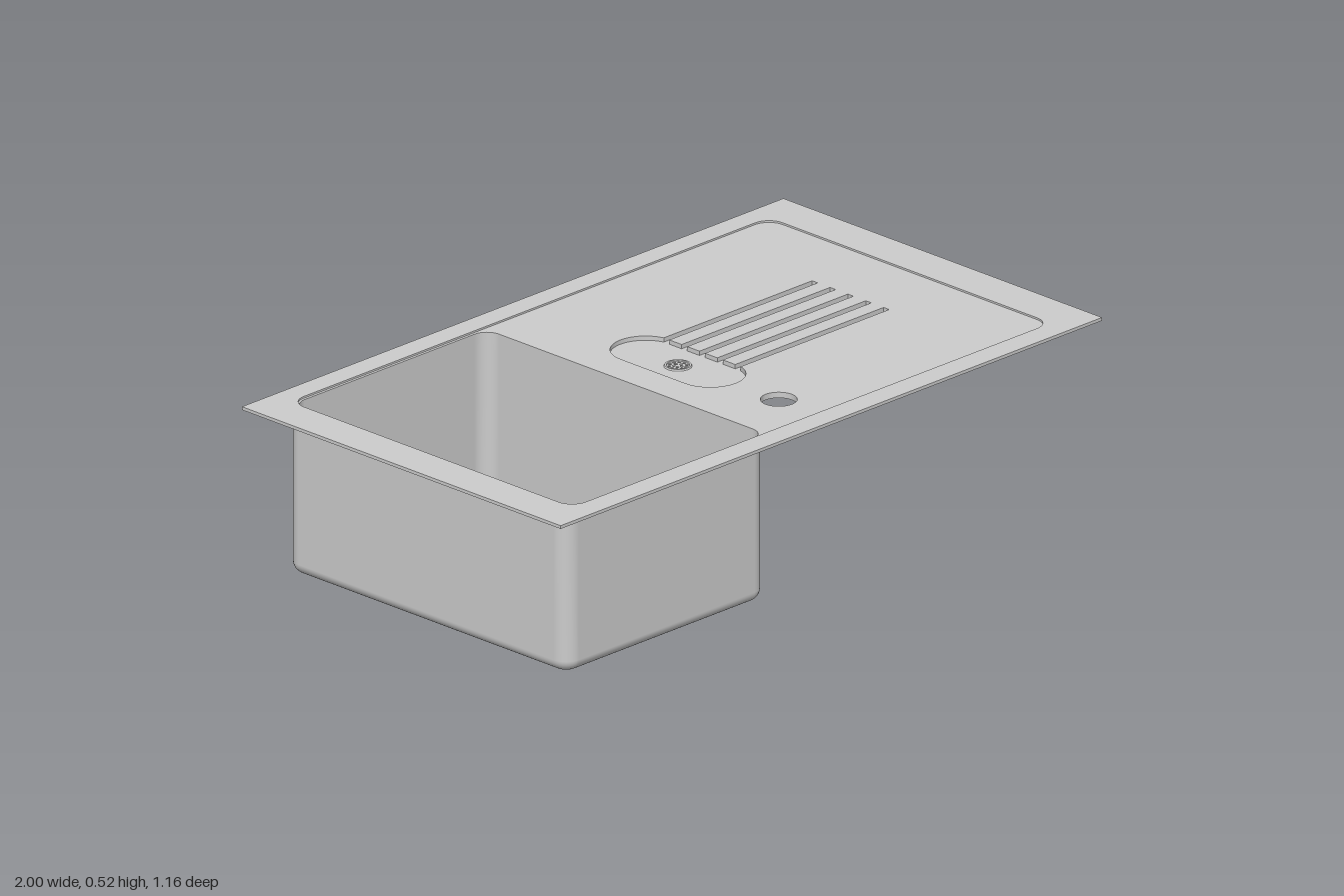
import * as THREE from 'three';
import { toCreasedNormals } from 'three/addons/utils/BufferGeometryUtils.js';

const steel = new THREE.MeshStandardMaterial({ color: 0xcccccc, side: THREE.DoubleSide });

// Outline of a rounded rectangle on the ground plane (x, z)
function roundedRect(x0, x1, z0, z1, r, n = 8) {
  const pts = [];
  const corners = [[x1 - r, z1 - r], [x0 + r, z1 - r], [x0 + r, z0 + r], [x1 - r, z0 + r]];
  corners.forEach(([cx, cz], i) => {
    for (let k = 0; k <= n; k++) {
      const a = (i + k / n) * Math.PI / 2;
      pts.push(new THREE.Vector2(cx + r * Math.cos(a), cz + r * Math.sin(a)));
    }
  });
  return pts;
}

function rect(x0, x1, z0, z1) {
  return [[x0, z0], [x1, z0], [x1, z1], [x0, z1]].map(p => new THREE.Vector2(...p));
}

function circle(x, z, r, n = 32) {
  return Array.from({ length: n }, (_, i) => {
    const a = i / n * Math.PI * 2;
    return new THREE.Vector2(x + r * Math.cos(a), z + r * Math.sin(a));
  });
}

function withHoles(outline, holes) {
  const shape = new THREE.Shape(outline);
  holes.forEach(h => shape.holes.push(new THREE.Path(h)));
  return shape;
}

// Horizontal sheet between two heights
function sheet(outline, holes, y0, y1) {
  const geo = new THREE.ExtrudeGeometry(withHoles(outline, holes), { depth: y1 - y0, bevelEnabled: false });
  geo.rotateX(Math.PI / 2).translate(0, y1, 0);
  return toCreasedNormals(geo, 0.5);
}

// Bowl skin: rounded walls, filleted into a floor with a drain hole
function bowlSkin(b, r, top, bottom, fillet, drain) {
  const levels = [[top, 0]];
  for (let i = 0; i <= 8; i++) {
    const a = i / 8 * Math.PI / 2;
    levels.push([bottom + fillet * (1 - Math.sin(a)), fillet * (1 - Math.cos(a))]);
  }
  const loops = levels.map(([, d]) => roundedRect(b.x0 + d, b.x1 - d, b.z0 + d, b.z1 - d, r - d));
  const n = loops[0].length, pos = [], index = [];
  loops.forEach((loop, i) => loop.forEach(p => pos.push(p.x, levels[i][0], p.y)));
  for (let i = 0; i < loops.length - 1; i++) {
    for (let j = 0; j < n; j++) {
      const a = i * n + j, c = i * n + (j + 1) % n;
      index.push(a, c, a + n, c, c + n, a + n);
    }
  }
  const walls = new THREE.BufferGeometry();
  walls.setAttribute('position', new THREE.Float32BufferAttribute(pos, 3));
  walls.setIndex(index);
  walls.computeVertexNormals();
  const floor = new THREE.ShapeGeometry(withHoles(loops[loops.length - 1], [drain]));
  floor.rotateX(Math.PI / 2).translate(0, bottom, 0);
  return [walls, floor];
}

// Oval recess with draining grooves opening into it
function drainerOutline(cx, r, dz) {
  const a0 = 0.246, half = 0.01, end = 0.66, pts = [];
  const arc = (cz, from, to) => {
    for (let i = 0; i <= 20; i++) {
      const a = from + (to - from) * i / 20;
      pts.push(new THREE.Vector2(cx + r * Math.cos(a), cz + r * Math.sin(a)));
    }
  };
  arc(dz, a0, Math.PI);
  arc(-dz, Math.PI, 2 * Math.PI - a0);
  const start = cx + r * Math.cos(a0);
  for (let i = -2; i <= 2; i++) {
    const z = i * 0.065;
    if (i > -2) pts.push(new THREE.Vector2(start, z - half));
    pts.push(new THREE.Vector2(end, z - half), new THREE.Vector2(end, z + half));
    if (i < 2) pts.push(new THREE.Vector2(start, z + half));
  }
  return pts;
}

// Rings of small holes for a strainer
function holeRings(cx, cz, rings) {
  return rings.flatMap(([count, dist, r]) => Array.from({ length: count }, (_, i) => {
    const a = i / count * Math.PI * 2;
    return circle(cx + dist * Math.cos(a), cz + dist * Math.sin(a), r, 12);
  }));
}

function lathe(points, x, z) {
  const geo = new THREE.LatheGeometry(points.map(p => new THREE.Vector2(...p)), 40);
  return toCreasedNormals(geo.translate(x, 0, z), 0.6);
}

export function createModel() {
  const group = new THREE.Group();
  const add = (name, geo) => {
    const mesh = new THREE.Mesh(geo, steel);
    mesh.name = name;
    group.add(mesh);
  };

  const drainX = -0.54, ovalX = 0.022;
  const tapHole = circle(ovalX, 0.367, 0.048, 40);
  const opening = roundedRect(-0.888, -0.17, -0.507, 0.507, 0.045);
  const drainer = drainerOutline(ovalX, 0.0925, 0.1175);
  const plate = rect(-1, 1, -0.58, 0.58);

  // Raised rim around the slightly sunken worktop
  add('rim', sheet(plate, [roundedRect(-0.888, 0.88, -0.515, 0.512, 0.05)], 0.518, 0.523));
  add('worktop', sheet(plate, [opening, drainer, tapHole], 0.514, 0.518));

  // Thickened drainer under the worktop: groove walls, then groove floor
  const tray = rect(-0.166, 0.69, -0.503, 0.515);
  add('drainerWalls', sheet(tray, [drainer, tapHole], 0.506, 0.514));
  add('drainerFloor', sheet(tray, [tapHole, circle(ovalX, 0, 0.032)], 0.502, 0.506));

  // Overflow strainer in the oval recess
  add('overflowStrainer', sheet(circle(ovalX, 0, 0.033),
    holeRings(ovalX, 0, [[5, 0.011, 0.0042], [10, 0.023, 0.0042]]), 0.501, 0.507));
  add('overflowRing', lathe([[0.029, 0.506], [0.03, 0.51], [0.035, 0.51], [0.037, 0.506]], ovalX, 0));

  // Bowl, outside and inside skins
  const drain = circle(drainX, 0, 0.057, 40);
  const outer = { x0: -0.909, x1: -0.166, z0: -0.511, z1: 0.511 };
  const inner = { x0: -0.888, x1: -0.17, z0: -0.507, z1: 0.507 };
  bowlSkin(outer, 0.047, 0.514, 0.055, 0.032, drain)
    .forEach((g, i) => add(['bowlOuterWalls', 'bowlUnderside'][i], g));
  bowlSkin(inner, 0.045, 0.516, 0.062, 0.032, drain)
    .forEach((g, i) => add(['bowlInnerWalls', 'bowlFloor'][i], g));

  // Drain cup and its strainer
  add('drainCup', lathe([
    [0.042, 0.012], [0.042, 0], [0.038, 0], [0.038, 0.016], [0.044, 0.018], [0.054, 0.026],
    [0.057, 0.062], [0.061, 0.055], [0.061, 0.024], [0.058, 0.016], [0.052, 0.012], [0.042, 0.012],
  ].reverse(), drainX, 0));
  add('drainStrainer', sheet(circle(drainX, 0, 0.04),
    holeRings(drainX, 0, [[8, 0.027, 0.0065], [4, 0.011, 0.004]]), 0.004, 0.01));

  return group;
}
